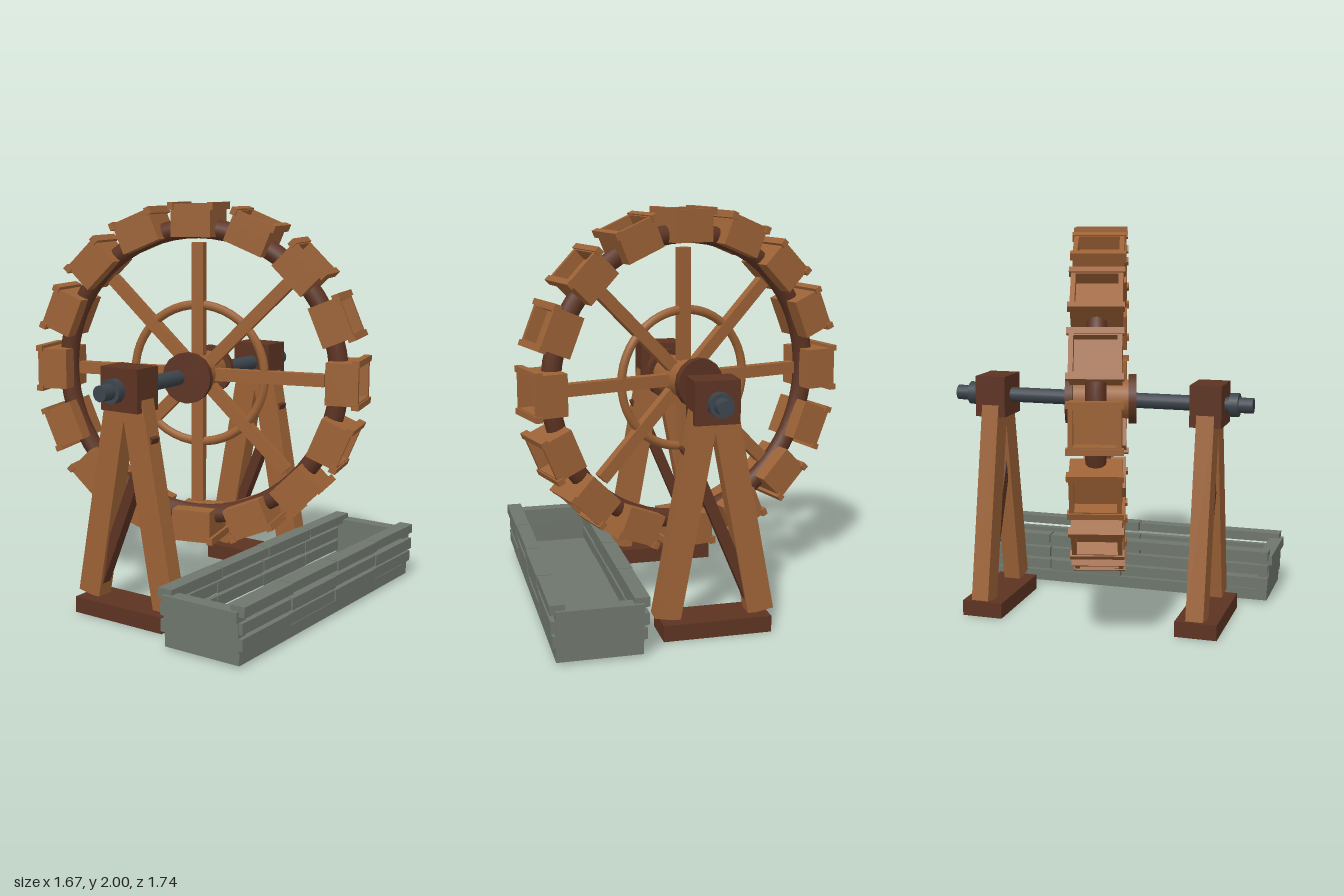
import * as THREE from 'three';

const mat = (name, color, extra = {}) => {
  const m = new THREE.MeshStandardMaterial({ color, ...extra });
  m.name = name;
  return m;
};

export function createModel() {
  const wood = mat('warm wood', 0x9c6236);
  const darkWood = mat('dark wood', 0x5c3322);
  const iron = mat('iron', 0x3c444c);
  const greyWood = mat('weathered wood', 0x6e766c);

  const model = new THREE.Group();
  model.name = 'waterWheel';
  const AXLE_Y = 1.135;

  const add = (parent, name, geo, material, x = 0, y = 0, z = 0) => {
    const mesh = new THREE.Mesh(geo, material);
    mesh.name = name;
    mesh.position.set(x, y, z);
    parent.add(mesh);
    return mesh;
  };
  // Box given by its extents on each axis
  const block = (parent, name, material, [x0, x1], [y0, y1], [z0, z1]) =>
    add(parent, name, new THREE.BoxGeometry(x1 - x0, y1 - y0, z1 - z0), material,
      (x0 + x1) / 2, (y0 + y1) / 2, (z0 + z1) / 2);
  // Cylinder lying along x
  const drum = (parent, name, material, r, length, x, sides) =>
    add(parent, name, new THREE.CylinderGeometry(r, r, length, sides).rotateZ(Math.PI / 2), material, x);
  // Beam between two points in the yz plane
  const beam = (parent, name, material, x, [y0, z0], [y1, z1], width, depth) => {
    const length = Math.hypot(y1 - y0, z1 - z0);
    const mesh = add(parent, name, new THREE.BoxGeometry(width, length, depth), material,
      x, (y0 + y1) / 2, (z0 + z1) / 2);
    mesh.rotation.x = Math.atan2(z1 - z0, y1 - y0);
    return mesh;
  };

  // Wheel, turned on its axle
  const wheel = new THREE.Group();
  wheel.name = 'wheel';
  wheel.position.y = AXLE_Y;
  wheel.rotation.y = Math.PI / 12;
  model.add(wheel);
  add(wheel, 'rim', new THREE.TorusGeometry(0.735, 0.05, 10, 64).rotateY(Math.PI / 2), darkWood);
  add(wheel, 'innerRing', new THREE.TorusGeometry(0.352, 0.023, 8, 48).rotateY(Math.PI / 2), wood);
  drum(wheel, 'hub', wood, 0.1, 0.3, 0, 24);
  for (const s of [-1, 1]) drum(wheel, 'hubFlange', darkWood, 0.128, 0.04, s * 0.16, 16);

  // Spokes
  for (let i = 0; i < 8; i++) {
    const spoke = new THREE.Group();
    spoke.name = 'spoke';
    spoke.rotation.x = (i * Math.PI) / 4;
    block(spoke, 'spokeBeam', wood, [-0.025, 0.025], [0.05, 0.665], [-0.031, 0.031]);
    wheel.add(spoke);
  }

  // Buckets, open outward
  for (let i = 0; i < 16; i++) {
    const bucket = new THREE.Group();
    bucket.name = 'bucket';
    bucket.rotation.x = (i * Math.PI) / 8;
    block(bucket, 'bucketBase', wood, [-0.12, 0.12], [0.695, 0.79], [-0.104, 0.104]);
    for (const s of [-1, 1]) {
      block(bucket, 'bucketSide', wood, s < 0 ? [-0.12, -0.098] : [0.098, 0.12], [0.79, 0.858], [-0.104, 0.104]);
      block(bucket, 'bucketEnd', wood, [-0.098, 0.098], [0.79, 0.858], s < 0 ? [-0.104, -0.084] : [0.084, 0.104]);
      block(bucket, 'bucketLip', wood, [-0.13, 0.13], [0.828, 0.865], s < 0 ? [-0.12, -0.09] : [0.09, 0.12]);
    }
    wheel.add(bucket);
  }

  // Axle with nuts
  const axle = new THREE.Group();
  axle.name = 'axle';
  axle.position.y = AXLE_Y;
  model.add(axle);
  drum(axle, 'axleRod', iron, 0.039, 1.57, 0, 16);
  for (const s of [-1, 1]) drum(axle, 'axleNut', iron, 0.06, 0.045, s * 0.692, 12);

  // Supports on either side
  for (const s of [-1, 1]) {
    const frame = new THREE.Group();
    frame.name = s > 0 ? 'leftSupport' : 'rightSupport';
    frame.position.x = s * 0.566;
    model.add(frame);
    block(frame, 'foot', darkWood, [-0.107, 0.107], [0, 0.08], [-0.266, 0.266]);
    block(frame, 'bearingBlock', darkWood, [-0.08, 0.08], [1.03, 1.24], [-0.11, 0.11]);
    for (const f of [-1, 1])
      beam(frame, 'leg', wood, 0, [0.085, f * 0.232], [1.08, f * 0.047], 0.09, 0.128);
    beam(frame, 'brace', darkWood, 0, [0.92, 0.135], [0.11, -0.2], 0.055, 0.055);
  }

  // Slatted trough
  const trough = new THREE.Group();
  trough.name = 'trough';
  model.add(trough);
  block(trough, 'troughFloor', greyWood, [-0.81, 0.81], [0.012, 0.072], [0.392, 0.798]);
  const ends = [[0.072, 0.142, 0.815], [0.142, 0.21, 0.82], [0.21, 0.262, 0.834]];
  for (const [y0, y1, x] of ends) {
    block(trough, 'endBoard', greyWood, [0.762, x], [y0, y1], [0.392, 0.798]);
    block(trough, 'endBoard', greyWood, [-x, -0.762], [y0, y1], [0.392, 0.798]);
  }
  // Slat rows: bottom, top, outer offset, inner offset from the trough's middle
  const rows = [[0.082, 0.14, 0.224, 0.19], [0.155, 0.212, 0.228, 0.19], [0.238, 0.288, 0.235, 0.16]];
  for (const s of [-1, 1])
    rows.forEach(([y0, y1, outer, inner], r) => {
      for (let k = 0; k < 4; k++) {
        const shift = ((k + r) % 2) * 0.004;
        const x0 = -0.82 + k * 0.41;
        const z = [0.594 + s * inner, 0.594 + s * (outer - shift)].sort((a, b) => a - b);
        block(trough, r === 2 ? 'topRail' : 'sideSlat', greyWood,
          [x0 + 0.004, x0 + 0.406], [y0 + shift, y1], z);
      }
    });

  return model;
}
